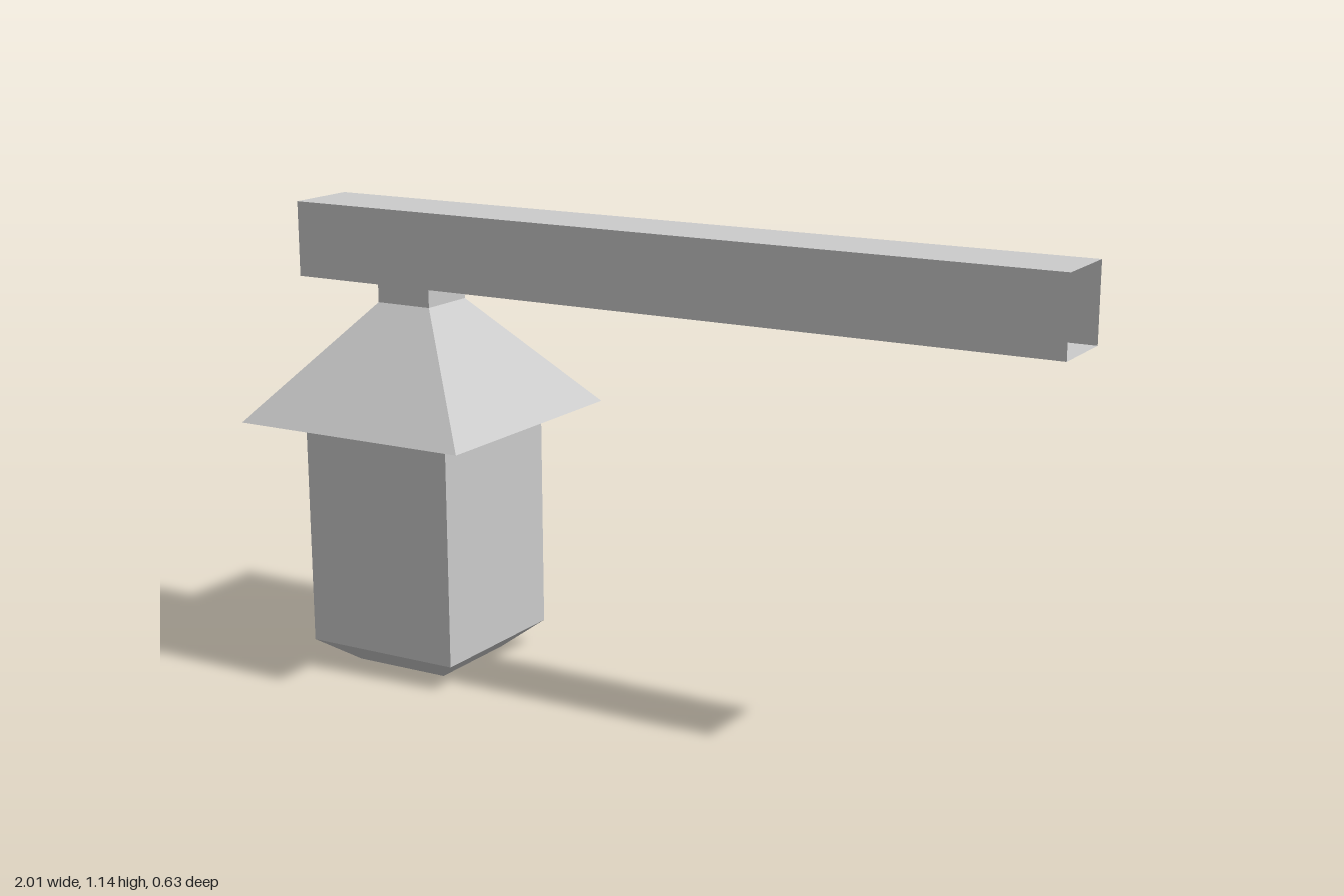
import * as THREE from 'three';

const material = new THREE.MeshStandardMaterial({
  color: 0xcccccc, flatShading: true, side: THREE.DoubleSide,
});

// Square-section solid from [halfWidth, y] pairs, listed bottom to top
function squareTurned(name, profile) {
  const points = profile.map(([half, y]) => new THREE.Vector2(half * Math.SQRT2, y));
  const mesh = new THREE.Mesh(new THREE.LatheGeometry(points, 4, Math.PI / 4), material);
  mesh.name = name;
  return mesh;
}

export function createModel() {
  const model = new THREE.Group();
  model.name = 'hangingLantern';

  // Hollow support beam, left open at its +x end (first box face removed)
  const beamGeometry = new THREE.BoxGeometry(1.99, 0.185, 0.185);
  beamGeometry.setIndex(Array.from(beamGeometry.index.array).slice(6));
  beamGeometry.clearGroups();
  const beam = new THREE.Mesh(beamGeometry, material);
  beam.name = 'beam';
  beam.position.set(0.005, 1.052, 0);
  model.add(beam);

  // Lantern hanging near the closed end
  const lantern = new THREE.Group();
  lantern.name = 'lantern';
  lantern.position.x = -0.69;
  lantern.add(
    // Body with bevelled base
    squareTurned('body', [[0, 0], [0.127, 0], [0.207, 0.062], [0.207, 0.632]]),
    // Roof with flat underside
    squareTurned('roof', [[0, 0.632], [0.317, 0.632], [0.075, 0.912]]),
    // Neck joining the roof to the beam
    squareTurned('neck', [[0.075, 0.912], [0.075, 0.981], [0, 0.981]]),
  );
  model.add(lantern);

  return model;
}
